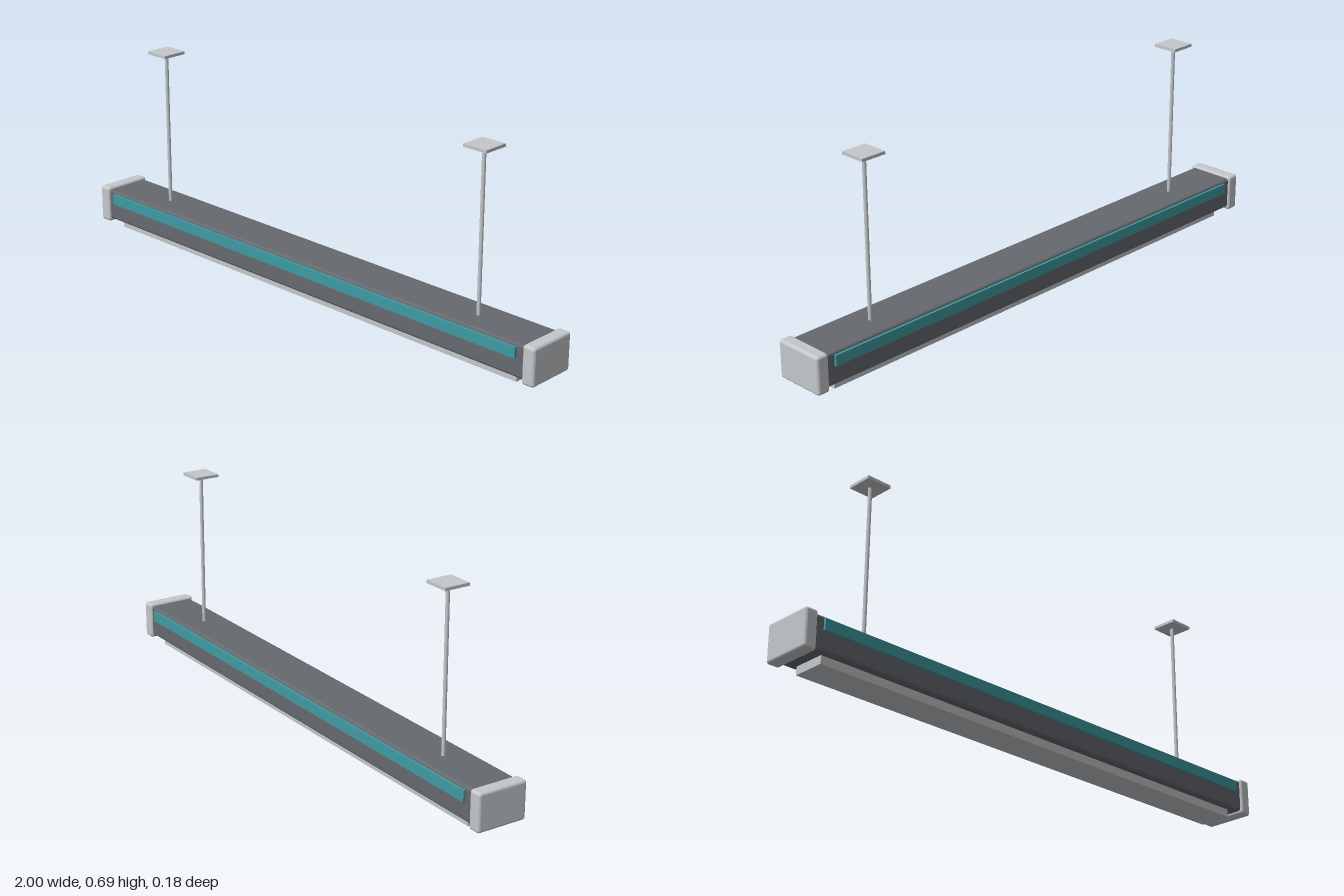
import * as THREE from 'three';
import { RoundedBoxGeometry } from 'three/addons/geometries/RoundedBoxGeometry.js';

const paint = (name, color) => {
  const m = new THREE.MeshStandardMaterial({ color });
  m.name = name;
  return m;
};

export function createModel() {
  const group = new THREE.Group();
  const lightGrey = paint('light grey', 0xc4c8cb);
  const darkGrey = paint('dark grey', 0x66696e);
  const teal = paint('teal', 0x3f9ba3);

  const add = (name, geometry, material, x, y, z) => {
    const mesh = new THREE.Mesh(geometry, material);
    mesh.name = name;
    mesh.position.set(x, y, z);
    group.add(mesh);
  };

  // Long housing with softened edges
  add('housing', new RoundedBoxGeometry(1.93, 0.112, 0.164, 3, 0.01), darkGrey, 0, 0.084, 0);

  // Diffuser bar under the housing
  add('diffuser', new THREE.BoxGeometry(1.826, 0.03, 0.114), lightGrey, 0, 0.015, 0);

  // Coloured strips on the front and back
  for (const s of [1, -1]) {
    add('sideStrip', new THREE.BoxGeometry(1.856, 0.037, 0.01), teal, 0, 0.1115, s * 0.0855);
  }

  for (const s of [1, -1]) {
    // Rounded end cap
    add('endCap', new RoundedBoxGeometry(0.046, 0.13, 0.179, 4, 0.01), lightGrey, s * 0.977, 0.0825, 0);
    // Hanging rod and ceiling plate
    add('hangingRod', new THREE.CylinderGeometry(0.0065, 0.0065, 0.55, 16), lightGrey, s * 0.714, 0.411, 0);
    add('ceilingPlate', new THREE.BoxGeometry(0.09, 0.01, 0.09), lightGrey, s * 0.714, 0.69, 0);
  }
  return group;
}
